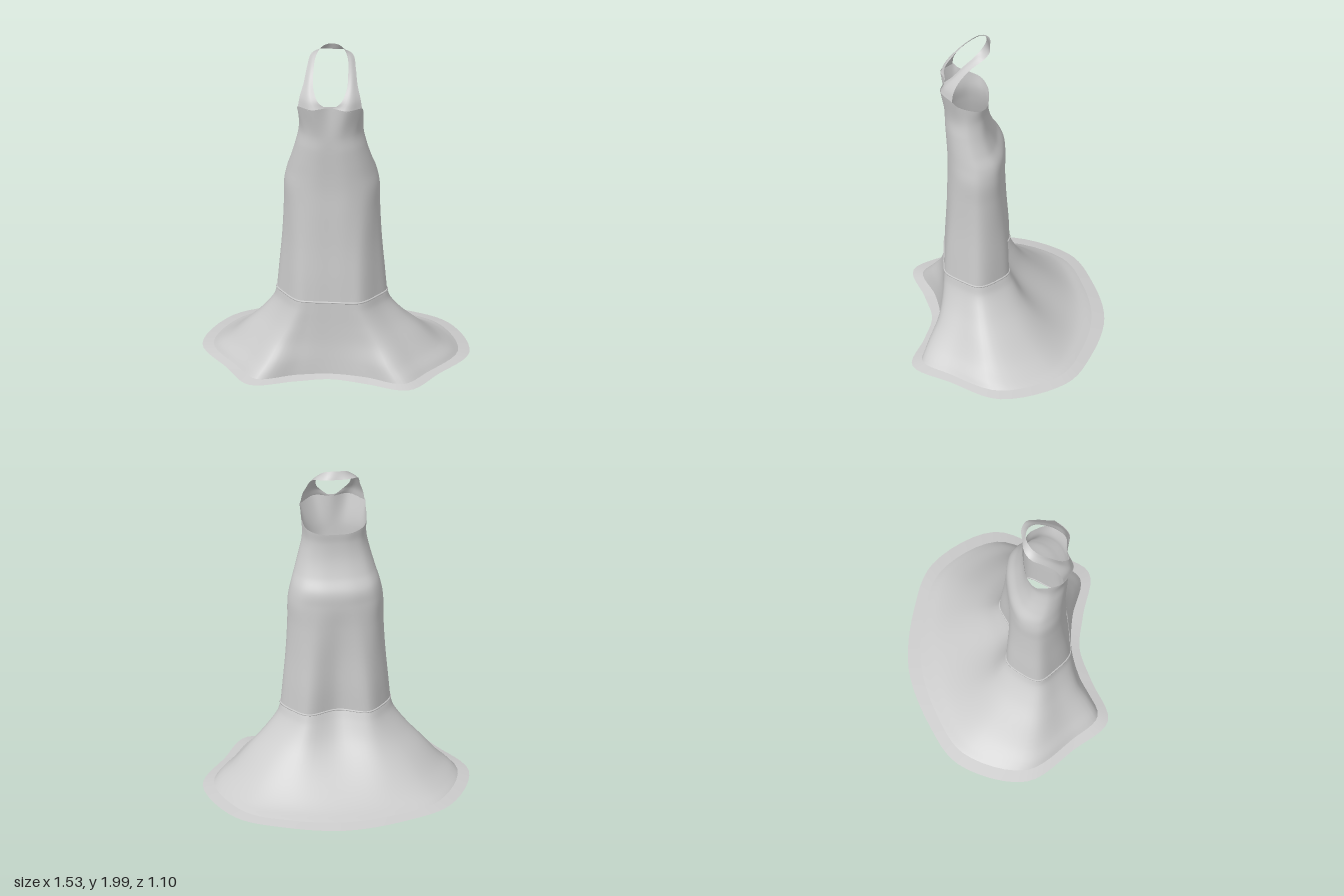
import * as THREE from 'three';

const V = (x, y, z) => new THREE.Vector3(x, y, z);
const mat = new THREE.MeshStandardMaterial({ color: 0xcccccc, side: THREE.DoubleSide });
const SHIFT = -0.012; // the gown sits slightly off the centre line

// Half outline (front centre to back centre) mirrored into a closed ring
function ring(half, shift = SHIFT) {
  const other = half.slice(1, -1).reverse().map(p => V(-p.x, p.y, p.z));
  return [...half, ...other].map(p => V(p.x + shift, p.y, p.z));
}

// Smooth surface through rows of control points
function loft(name, rows, nu, nv, closed) {
  const across = rows.map(r => new THREE.CatmullRomCurve3(r, closed));
  const pos = [], idx = [], cols = closed ? nu : nu + 1;
  for (let i = 0; i < cols; i++) {
    const column = new THREE.CatmullRomCurve3(across.map(c => c.getPoint(i / nu)));
    for (let j = 0; j <= nv; j++) pos.push(...column.getPoint(j / nv).toArray());
  }
  for (let i = 0; i < nu; i++) for (let j = 0; j < nv; j++) {
    const a = i * (nv + 1) + j, b = ((i + 1) % cols) * (nv + 1) + j;
    idx.push(a, b, b + 1, a, b + 1, a + 1);
  }
  const g = new THREE.BufferGeometry();
  g.setAttribute('position', new THREE.Float32BufferAttribute(pos, 3));
  g.setIndex(idx);
  g.computeVertexNormals();
  const mesh = new THREE.Mesh(g, mat);
  mesh.name = name;
  return mesh;
}

// Unit half outlines [x, z]: angular with a back fold at the knee, round at the chest
const KNEE = [[0, .99], [.32, .99], [.57, .96], [.84, .7], [1, .44], [.8, .15], [.54, -.02], [0, .11]];
const CHEST = [[0, 1], [.4, .98], [.74, .85], [.94, .65], [1, .44], [.82, .16], [.46, .03], [0, 0]];

function section(y, w, front, back, round) {
  return KNEE.map(([x, z], i) => V(
    w * THREE.MathUtils.lerp(x, CHEST[i][0], round), y,
    back + (front - back) * THREE.MathUtils.lerp(z, CHEST[i][1], round)));
}

export function createModel() {
  const group = new THREE.Group();
  group.name = 'halterGown';

  // Fitted body: y, half width, front z, back z, roundness
  const seam = section(.46, .315, .37, .003, 0);
  const body = [
    seam,
    section(.6, .303, .365, .005, .15),
    section(.8, .286, .355, .014, .4),
    section(1.0, .276, .35, .018, .75),
    section(1.15, .273, .347, .018, 1),
    section(1.24, .256, .35, .025, 1),
    section(1.32, .232, .355, .07, 1),
    section(1.42, .205, .362, .105, 1),
    section(1.52, .185, .366, .116, 1),
  ];
  // Neckline and open back rim
  const rim = [[0, 1.705, .365], [.1, 1.7, .39], [.185, 1.69, .325], [.188, 1.655, .29],
    [.185, 1.625, .22], [.165, 1.605, .16], [.095, 1.588, .12], [0, 1.585, .112]].map(p => V(...p));
  group.add(loft('fittedBody', [...body, rim].map(r => ring(r)), 84, 72, true));

  // Halter: [inner, middle, outer] edge points from the bust to the nape
  const strap = [
    [[.01, 1.695, .363], [.1, 1.692, .389], [.185, 1.682, .323]],
    [[.065, 1.74, .367], [.12, 1.745, .362], [.175, 1.745, .313]],
    [[.095, 1.8, .322], [.125, 1.81, .312], [.155, 1.815, .277]],
    [[.1, 1.88, .258], [.12, 1.885, .245], [.14, 1.89, .212]],
    [[.09, 1.95, .187], [.105, 1.948, .17], [.12, 1.942, .142]],
    [[.055, 1.99, .143], [.062, 1.972, .127], [.07, 1.955, .108]],
    [[0, 2, .125], [0, 1.978, .115], [0, 1.955, .105]],
  ].map(r => r.map(p => V(...p)));
  const mirrored = strap.slice(0, -1).reverse().map(r => r.map(p => V(-p.x, p.y, p.z)));
  const halterRows = [...strap, ...mirrored].map(r => r.map(p => V(p.x + SHIFT, p.y, p.z)));
  group.add(loft('halterStrap', halterRows, 8, 60, false));

  // Flared skirt: foot outline, and how far each height has spread towards it
  const foot = [[0, .39], [.2, .42], [.42, .49], [.545, .33], [.7, .045],
    [.555, -.3], [.31, -.42], [0, -.475]];
  const spread = [ // y, front, side, back
    [.018, 1, 1, 1], [.045, .9, .92, .82], [.1, .68, .74, .63], [.2, .28, .49, .38],
    [.3, .1, .24, .19], [.4, .03, .05, .06], [.46, 0, 0, 0],
  ];
  const skirt = spread.map(([y, front, side, back]) => ring(seam.map((p, i) => {
    const [fx, fz] = foot[i];
    return V(p.x + (fx - p.x) * side, y, p.z + (fz - p.z) * (fz > p.z ? front : back));
  }), SHIFT * (1 - side)));
  group.add(loft('flaredSkirt', skirt, 84, 40, true));

  // Flat brim lying on the ground around the foot of the skirt
  const hem = [[0, .437], [.2, .48], [.455, .545], [.605, .33], [.765, .04],
    [.615, -.335], [.35, -.475], [0, -.548]].map(([x, z]) => V(x, .006, z));
  group.add(loft('hemBrim', [ring(hem, 0), skirt[0]], 84, 3, true));

  // Raised seam where the skirt joins the body
  const seamCurve = new THREE.CatmullRomCurve3(ring(seam), true);
  const piping = new THREE.Mesh(new THREE.TubeGeometry(seamCurve, 96, .006, 6, true), mat);
  piping.name = 'kneeSeam';
  group.add(piping);

  return group;
}
